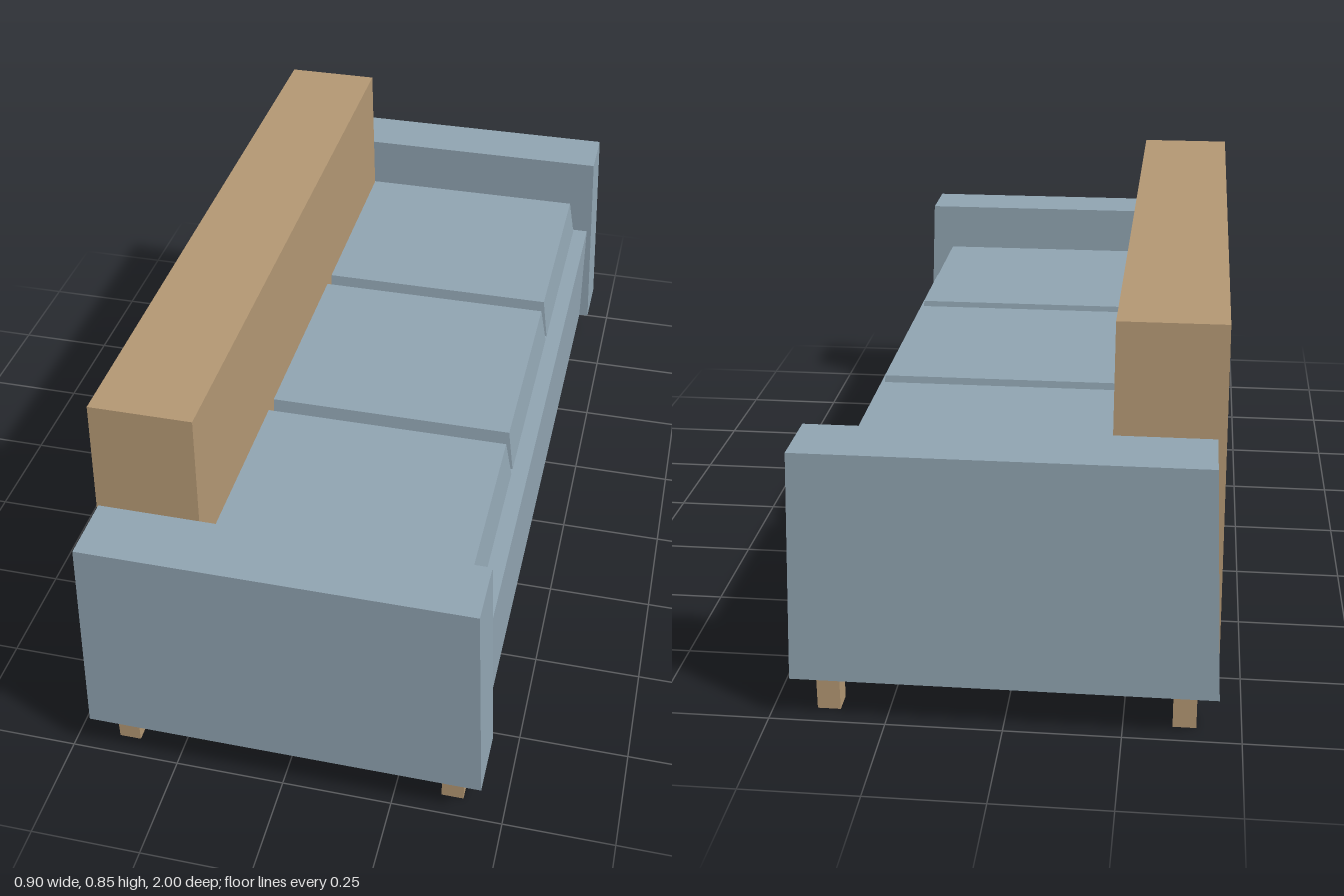
import * as THREE from 'three';

export function createModel() {
  const model = new THREE.Group();
  model.name = 'sofa';

  const fabric = new THREE.MeshStandardMaterial({ color: 0x90a4b1 });
  fabric.name = 'blue grey fabric';
  const wood = new THREE.MeshStandardMaterial({ color: 0xb39773 });
  wood.name = 'tan';

  // Box between x, y and z limits; the top is inset by insetX and insetZ on each side
  function block(name, material, [x0, x1], [y0, y1], [z0, z1], insetX = 0, insetZ = 0) {
    const w = x1 - x0, h = y1 - y0, d = z1 - z0;
    let geometry = new THREE.BoxGeometry(w, h, d);
    const p = geometry.attributes.position;
    for (let i = 0; i < p.count; i++) {
      if (p.getY(i) > 0) {
        p.setX(i, p.getX(i) * (1 - 2 * insetX / w));
        p.setZ(i, p.getZ(i) * (1 - 2 * insetZ / d));
      }
    }
    geometry = geometry.toNonIndexed();
    geometry.computeVertexNormals();
    const mesh = new THREE.Mesh(geometry, material);
    mesh.name = name;
    mesh.position.set((x0 + x1) / 2, (y0 + y1) / 2, (z0 + z1) / 2);
    model.add(mesh);
  }

  // Seat base and tapered backrest (bottom just clear of the base's underside)
  block('seatBase', fabric, [-0.37, 0.425], [0.1, 0.4], [-0.853, 0.853]);
  block('backrest', wood, [-0.45, -0.21], [0.102, 0.85], [-0.85, 0.85], 0.005, 0.043);

  // Three seat cushions
  for (const z of [-0.568, 0, 0.568]) {
    block('seatCushion', fabric, [-0.28, 0.386], [0.4, 0.5], [z - 0.275, z + 0.275], 0.015, 0.013);
  }

  // Armrests, and a leg under each end of each one
  for (const side of [-1, 1]) {
    const z = side * 0.926;
    block(side > 0 ? 'armrestFront' : 'armrestRear', fabric,
      [-0.45, 0.45], [0.1, 0.62], [z - 0.074, z + 0.074], 0.022);
    for (const x of [-0.38, 0.38]) {
      block('leg', wood, [x - 0.025, x + 0.025], [0, 0.1], [z - 0.025, z + 0.025]);
    }
  }

  return model;
}
